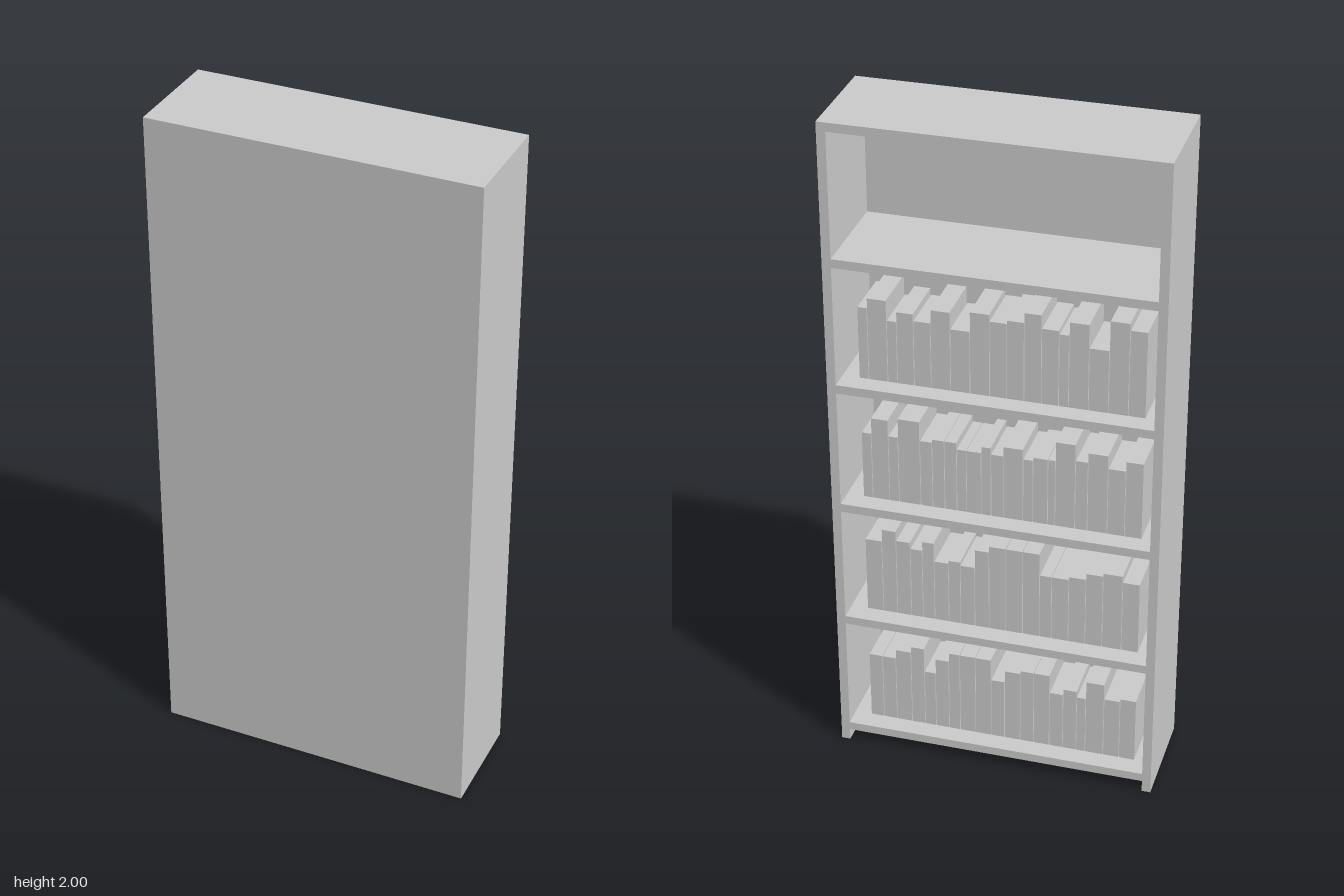
import * as THREE from 'three';

const W = 0.948, H = 2, D = 0.316, T = 0.026, BACK = 0.012;
const material = new THREE.MeshStandardMaterial({ color: 0xcccccc });

// Box placed by its minimum corner and size
function box(parent, name, x, y, z, w, h, d) {
  const mesh = new THREE.Mesh(new THREE.BoxGeometry(w, h, d), material);
  mesh.position.set(x + w / 2, y + h / 2, z + d / 2);
  mesh.name = name;
  parent.add(mesh);
}

// Books per shelf, top shelf first: spine widths (relative) and heights (hundredths)
const rows = [
  { widths: [4, 8, 4, 7, 7, 8, 8, 8, 7, 7, 7, 7, 4, 8, 8, 8, 7],
    heights: [22, 25, 19, 22, 20, 24, 19, 25, 23, 24, 27, 23, 22, 26, 19, 28, 26] },
  { widths: [4, 7, 4, 9, 5, 5, 5, 4, 6, 4, 5, 8, 4, 6, 3, 8, 5, 8, 7, 7],
    heights: [21, 26, 21, 27, 21, 22, 22, 20, 20, 22, 20, 23, 20, 21, 21, 27, 22, 25, 21, 24] },
  { widths: [7, 6, 6, 5, 5, 6, 5, 6, 6, 7, 7, 7, 5, 7, 7, 7, 8, 7],
    heights: [24, 28, 25, 23, 26, 20, 21, 20, 26, 28, 28, 28, 21, 21, 22, 24, 25, 23] },
  { widths: [6, 6, 7, 6, 5, 6, 5, 7, 7, 6, 7, 6, 7, 6, 6, 4, 8, 7, 7],
    heights: [22, 22, 25, 27, 19, 24, 27, 27, 27, 20, 24, 25, 25, 19, 21, 19, 25, 20, 21] },
];

export function createModel() {
  const group = new THREE.Group();
  group.name = 'bookcase';
  const inner = W - 2 * T;

  // Carcass: the open side faces -z
  box(group, 'leftSide', W / 2 - T, 0, -D / 2, T, H, D);
  box(group, 'rightSide', -W / 2, 0, -D / 2, T, H, D);
  box(group, 'topBoard', -inner / 2, H - T, -D / 2, inner, T, D);
  box(group, 'backPanel', -inner / 2, 0, D / 2 - BACK, inner, H - T, BACK);

  // Five evenly spaced boards, the lowest raised above the floor
  const shelfTop = (i) => 1.606 - i * 0.386;
  for (let i = 0; i < 5; i++) {
    box(group, i === 4 ? 'bottomBoard' : 'shelf', -inner / 2, shelfTop(i) - T, -D / 2, inner, T, D - BACK);
  }

  // Rows of upright books on the lower four boards
  rows.forEach(({ widths, heights }, i) => {
    const row = new THREE.Group();
    row.name = 'bookRow';
    const unit = 0.81 / widths.reduce((a, b) => a + b, 0);
    let x = 0.4;
    widths.forEach((w, k) => {
      x -= w * unit;
      box(row, 'book', x, shelfTop(i + 1), -0.1, w * unit - 0.002, heights[k] / 100, 0.16);
    });
    group.add(row);
  });
  return group;
}
